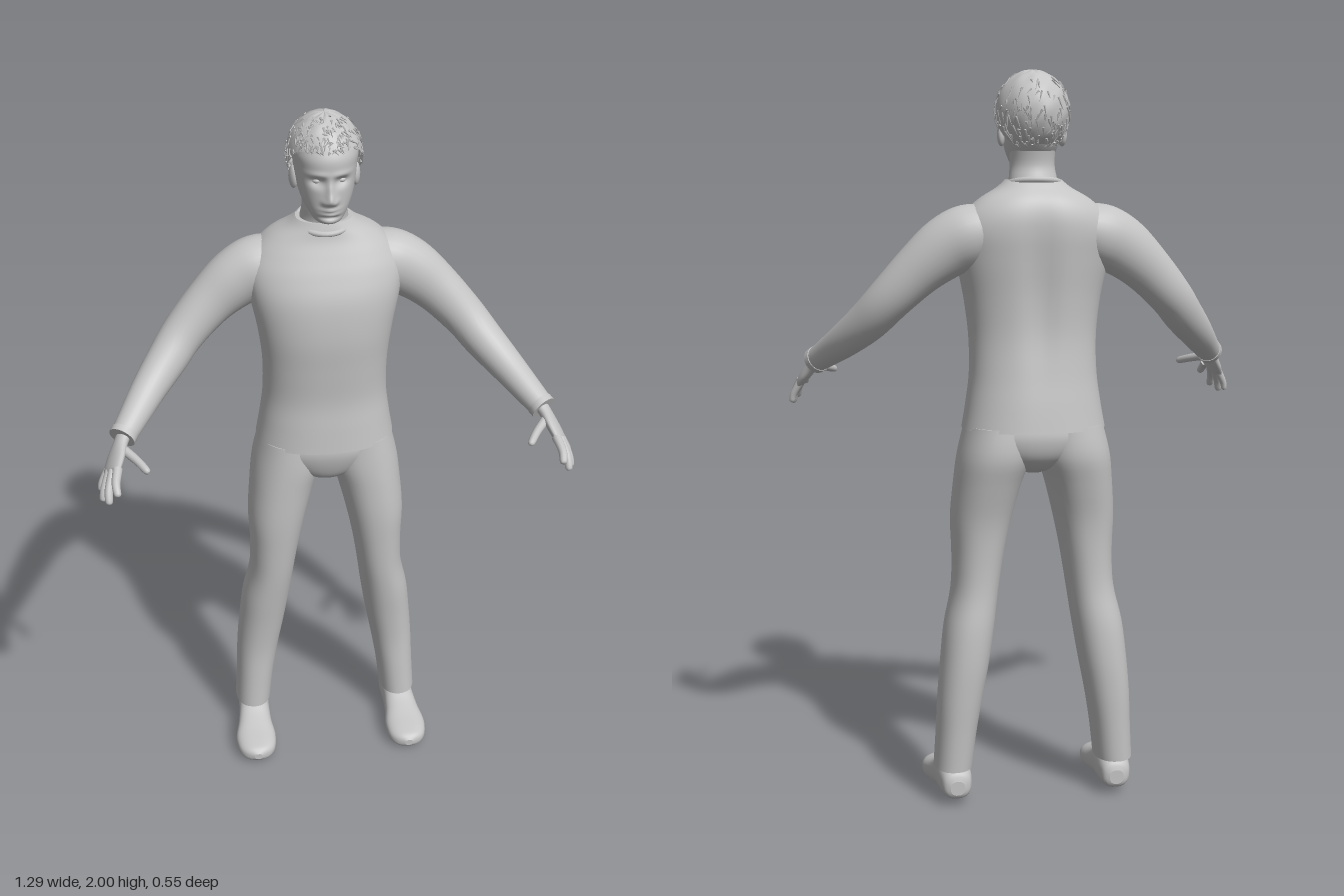
import * as THREE from 'three';
import { mergeGeometries } from 'three/addons/utils/BufferGeometryUtils.js';

const V = (x, y, z) => new THREE.Vector3(x, y, z);
const grey = new THREE.MeshStandardMaterial({ color: 0xc4c4c4, side: THREE.DoubleSide });
grey.name = 'plain grey';

// Catmull-Rom interpolation of every column in a table of section values
function smooth(rows, steps) {
  const out = [];
  const at = i => rows[Math.max(0, Math.min(rows.length - 1, i))];
  for (let i = 0; i < rows.length - 1; i++) {
    for (let s = 0; s < steps; s++) {
      const t = s / steps;
      out.push(rows[i].map((p1, k) => {
        const p0 = at(i - 1)[k], p2 = at(i + 1)[k], p3 = at(i + 2)[k];
        return p1 + 0.5 * t * (p2 - p0 + t * (2 * p0 - 5 * p1 + 4 * p2 - p3 + t * (3 * (p1 - p2) + p3 - p0)));
      }));
    }
  }
  out.push(rows[rows.length - 1]);
  return out;
}

// Skin over rings {c, u, v}: centre and two half axes, with u x v along the loft
function loft(rings, seg = 32, n = 2) {
  const pos = [], idx = [];
  const pw = a => Math.sign(a) * Math.pow(Math.abs(a), 2 / n);
  const addRing = r => {
    for (let j = 0; j < seg; j++) {
      const a = j / seg * Math.PI * 2;
      const p = r.c.clone().addScaledVector(r.u, pw(Math.cos(a))).addScaledVector(r.v, pw(Math.sin(a)));
      pos.push(p.x, p.y, p.z);
    }
  };
  rings.forEach(addRing);
  for (let i = 0; i < rings.length - 1; i++) {
    for (let j = 0; j < seg; j++) {
      const a = i * seg + j, b = i * seg + (j + 1) % seg;
      idx.push(a, b, b + seg, a, b + seg, a + seg);
    }
  }
  [[rings[0], true], [rings[rings.length - 1], false]].forEach(([r, flip]) => {
    const s = pos.length / 3;
    addRing(r);
    pos.push(r.c.x, r.c.y, r.c.z);
    for (let j = 0; j < seg; j++) {
      const a = s + j, b = s + (j + 1) % seg;
      if (flip) idx.push(b, a, s + seg); else idx.push(a, b, s + seg);
    }
  });
  const g = new THREE.BufferGeometry();
  g.setAttribute('position', new THREE.Float32BufferAttribute(pos, 3));
  g.setIndex(idx);
  g.computeVertexNormals();
  return g;
}

// Upright loft, rows [y, centre x, half width, front z, back z]
const column = (rows, steps = 5, seg = 40, n = 2) => loft(smooth(rows, steps).map(([y, x, rx, f, b]) =>
  ({ c: V(x, y, (f + b) / 2), u: V(0, 0, (f - b) / 2), v: V(rx, 0, 0) })), seg, n);

// Limb along a path, rows [x, y, z, half size along ref, half size across]
function limb(rows, ref = V(0, 1, 0), steps = 5, seg = 20) {
  const pts = smooth(rows, steps), P = pts.map(r => V(r[0], r[1], r[2]));
  return loft(pts.map((r, i) => {
    const w = P[Math.min(i + 1, P.length - 1)].clone().sub(P[Math.max(i - 1, 0)]).normalize();
    const u = ref.clone().addScaledVector(w, -ref.dot(w)).normalize();
    const v = w.clone().cross(u);
    return { c: P[i], u: u.multiplyScalar(r[3]), v: v.multiplyScalar(r[4]) };
  }), seg);
}

function deform(g, rule) {
  const p = g.attributes.position, v = V(0, 0, 0);
  for (let i = 0; i < p.count; i++) {
    rule(v.fromBufferAttribute(p, i));
    p.setXYZ(i, v.x, v.y, v.z);
  }
  g.computeVertexNormals();
  return g;
}

function mirrored(g) {
  const m = g.clone(), p = m.attributes.position, ix = m.index.array;
  for (let i = 0; i < p.count; i++) p.setX(i, -p.getX(i));
  for (let i = 0; i < ix.length; i += 3) [ix[i], ix[i + 1]] = [ix[i + 1], ix[i]];
  m.computeVertexNormals();
  return m;
}

export function createModel() {
  const model = new THREE.Group();
  model.name = 'standing man';
  const add = (name, g) => {
    const m = new THREE.Mesh(g, grey);
    m.name = name;
    model.add(m);
    return m;
  };
  const pair = (name, g) => { add('left ' + name, g); add('right ' + name, mirrored(g)); };
  const bump = (d, s) => Math.exp(-(d * d) / (s * s));

  // Shirt, with a shallow groove down the spine
  const shirt = column([
    [1.05, 0, 0.195, 0.01, -0.272], [1.12, 0, 0.183, 0.005, -0.262], [1.2, 0, 0.173, 0, -0.25],
    [1.3, 0, 0.173, 0.008, -0.24], [1.4, 0, 0.185, 0.016, -0.242], [1.5, 0, 0.205, 0.01, -0.25],
    [1.57, 0, 0.212, -0.012, -0.255], [1.62, 0, 0.19, -0.034, -0.252], [1.66, 0, 0.15, -0.052, -0.238],
    [1.69, 0, 0.1, -0.06, -0.212], [1.71, 0, 0.076, -0.066, -0.192]], 5, 64, 2.3);
  add('shirt', deform(shirt, v => {
    if (v.z < -0.15) v.z += 0.016 * bump(v.x, 0.04) * bump(v.y - 1.42, 0.2);
  }));
  const collar = add('collar', new THREE.TorusGeometry(0.072, 0.008, 10, 40));
  collar.rotation.x = Math.PI / 2 + 0.2;
  collar.position.set(0, 1.698, -0.127);

  // Sleeves and cuffs
  pair('sleeve', limb([
    [0.09, 1.59, -0.15, 0.06, 0.07], [0.17, 1.565, -0.148, 0.085, 0.08], [0.235, 1.535, -0.143, 0.082, 0.072],
    [0.31, 1.475, -0.132, 0.069, 0.062], [0.385, 1.398, -0.108, 0.06, 0.058], [0.435, 1.34, -0.07, 0.056, 0.054],
    [0.49, 1.285, -0.01, 0.048, 0.047], [0.54, 1.238, 0.065, 0.039, 0.039], [0.568, 1.212, 0.108, 0.034, 0.034]], V(0, 1, 0), 5, 28));
  pair('cuff', limb([[0.561, 1.219, 0.096, 0.037, 0.037], [0.57, 1.211, 0.11, 0.037, 0.037]], V(0, 1, 0), 2, 24));

  // Hands: palm, four fingers and thumb
  pair('palm', limb([
    [0.56, 1.22, 0.095, 0.024, 0.02], [0.573, 1.203, 0.118, 0.026, 0.017], [0.588, 1.178, 0.15, 0.04, 0.016],
    [0.6, 1.156, 0.178, 0.041, 0.014], [0.604, 1.149, 0.187, 0.033, 0.008]], V(0.03, -0.03, -0.06)));
  const fingers = {
    'index finger': [[0.586, 1.17, 0.2], [0.593, 1.152, 0.242], [0.59, 1.13, 0.272]],
    'middle finger': [[0.598, 1.16, 0.188], [0.612, 1.126, 0.224], [0.615, 1.092, 0.248]],
    'ring finger': [[0.607, 1.15, 0.172], [0.624, 1.112, 0.197], [0.631, 1.08, 0.21]],
    'little finger': [[0.613, 1.143, 0.155], [0.63, 1.112, 0.163], [0.636, 1.088, 0.167]],
    'thumb': [[0.571, 1.195, 0.14], [0.535, 1.183, 0.185], [0.507, 1.17, 0.229]]
  };
  for (const [name, [a, b, c]] of Object.entries(fingers)) {
    const r = name === 'little finger' ? 0.0095 : 0.0115;
    const near = c.map((q, k) => q * 0.82 + b[k] * 0.18);
    pair(name, limb([[...a, r * 1.15, r * 1.15], [...b, r, r], [...near, r * 0.85, r * 0.85], [...c, 0.003, 0.003]], V(0.3, 1, 0.1), 4, 12));
  }

  // Trousers: hips and two legs
  add('trouser hips', column([
    [0.925, 0, 0.03, -0.07, -0.16], [0.945, 0, 0.08, -0.035, -0.21], [0.98, 0, 0.15, -0.015, -0.245],
    [1.03, 0, 0.188, -0.002, -0.258], [1.08, 0, 0.175, -0.005, -0.25]], 5, 48, 2.2));
  pair('trouser leg', column([
    [0.1, 0.228, 0.053, -0.06, -0.21], [0.2, 0.219, 0.056, -0.063, -0.215], [0.3, 0.208, 0.062, -0.064, -0.221],
    [0.4, 0.194, 0.067, -0.055, -0.224], [0.5, 0.18, 0.069, -0.041, -0.22], [0.6, 0.162, 0.065, -0.028, -0.208],
    [0.7, 0.152, 0.071, -0.018, -0.208], [0.8, 0.143, 0.083, -0.01, -0.217], [0.9, 0.126, 0.092, -0.008, -0.24],
    [0.98, 0.108, 0.1, -0.008, -0.258], [1.06, 0.1, 0.088, -0.012, -0.252]], 4, 40, 2.2));

  // Shoes, rows [z, centre x, half width, bottom y, top y]
  pair('shoe', loft(smooth([
    [-0.212, 0.225, 0.02, 0.035, 0.075], [-0.2, 0.225, 0.038, 0.022, 0.1], [-0.16, 0.226, 0.046, 0.016, 0.115],
    [-0.09, 0.229, 0.047, 0.01, 0.112], [-0.04, 0.232, 0.052, 0.003, 0.09], [0.01, 0.234, 0.061, 0, 0.072],
    [0.055, 0.234, 0.055, 0.002, 0.06], [0.08, 0.234, 0.038, 0.007, 0.052], [0.093, 0.234, 0.012, 0.02, 0.04]], 4)
    .map(([z, x, rx, lo, hi]) => ({ c: V(x, (lo + hi) / 2, z), u: V(rx, 0, 0), v: V(0, (hi - lo) / 2, 0) })), 32, 2.5));

  // Neck
  add('neck', column([
    [1.66, 0, 0.074, -0.065, -0.2], [1.71, 0, 0.065, -0.068, -0.184], [1.75, 0, 0.06, -0.055, -0.172],
    [1.8, 0, 0.062, -0.05, -0.18]], 4, 32));

  // Head, with brow, eye sockets, nose, lips and chin pushed in or out
  const head = column([
    [1.728, 0, 0.018, -0.02, -0.06], [1.738, 0, 0.038, -0.006, -0.1], [1.765, 0, 0.057, 0, -0.155],
    [1.8, 0, 0.071, 0.001, -0.188], [1.84, 0, 0.079, 0.002, -0.208], [1.875, 0, 0.083, 0.003, -0.217],
    [1.91, 0, 0.086, 0, -0.215], [1.95, 0, 0.078, -0.025, -0.2], [1.975, 0, 0.05, -0.06, -0.17]], 9, 112, 2.15);
  add('head', deform(head, v => {
    if (v.z < -0.06) return;
    const x = Math.abs(v.x), y = v.y;
    v.z += 0.02 * bump(x, 0.013) * bump(y - 1.803, 0.017) + 0.01 * bump(x, 0.009) * bump(y - 1.83, 0.022)
      + 0.008 * bump(x - 0.014, 0.009) * bump(y - 1.796, 0.009)
      - 0.014 * bump(x - 0.031, 0.019) * bump(y - 1.848, 0.013)
      + 0.004 * bump(x - 0.03, 0.025) * bump(y - 1.868, 0.008)
      + 0.008 * bump(x, 0.021) * (bump(y - 1.775, 0.006) + bump(y - 1.762, 0.006))
      - 0.006 * bump(x, 0.025) * bump(y - 1.752, 0.005) + 0.003 * bump(x, 0.02) * bump(y - 1.738, 0.008);
  }));
  pair('eye', new THREE.SphereGeometry(0.012, 20, 14).scale(1.1, 0.7, 1).translate(0.031, 1.848, -0.026));
  pair('ear', new THREE.SphereGeometry(1, 20, 14).scale(0.011, 0.031, 0.019).rotateY(-0.3).translate(0.082, 1.828, -0.108));

  // Hair cap, with its lower edge dropping from forehead to nape
  const hairPoint = (az, f, lift = 0) => {
    const t = THREE.MathUtils.smoothstep((1 - Math.cos(az)) / 2, 0.12, 0.8);
    const phi = f * (1.22 + 1.2 * t);
    const k = 1 + lift + 0.012 * Math.sin(az * 9 + phi * 4) * Math.sin(phi * 7);
    return V(0.098 * k * Math.sin(phi) * Math.sin(az), 1.885 + 0.11 * k * Math.cos(phi), -0.115 + 0.12 * k * Math.sin(phi) * Math.cos(az));
  };
  const cap = new THREE.PlaneGeometry(1, 1, 64, 24);
  add('hair cap', deform(cap, v => v.copy(hairPoint((v.x + 0.5) * Math.PI * 2, 0.5 - v.y))));

  // Short strands lying across the cap
  let seed = 7;
  const rnd = () => (seed = (seed * 16807) % 2147483647) / 2147483647;
  const strands = [];
  for (let i = 0; i < 320; i++) {
    const az = rnd() * Math.PI * 2, f = 0.15 + 0.85 * Math.sqrt(rnd());
    const a = hairPoint(az, f, 0.005);
    const b = hairPoint(az + (rnd() - 0.5) * 0.35, Math.min(1.03, f + 0.05 + rnd() * 0.12), 0.035);
    const d = b.clone().sub(a);
    const g = new THREE.ConeGeometry(0.0035, d.length(), 4);
    g.applyQuaternion(new THREE.Quaternion().setFromUnitVectors(V(0, 1, 0), d.clone().normalize()));
    strands.push(g.translate((a.x + b.x) / 2, (a.y + b.y) / 2, (a.z + b.z) / 2));
  }
  add('hair strands', mergeGeometries(strands));
  return model;
}
